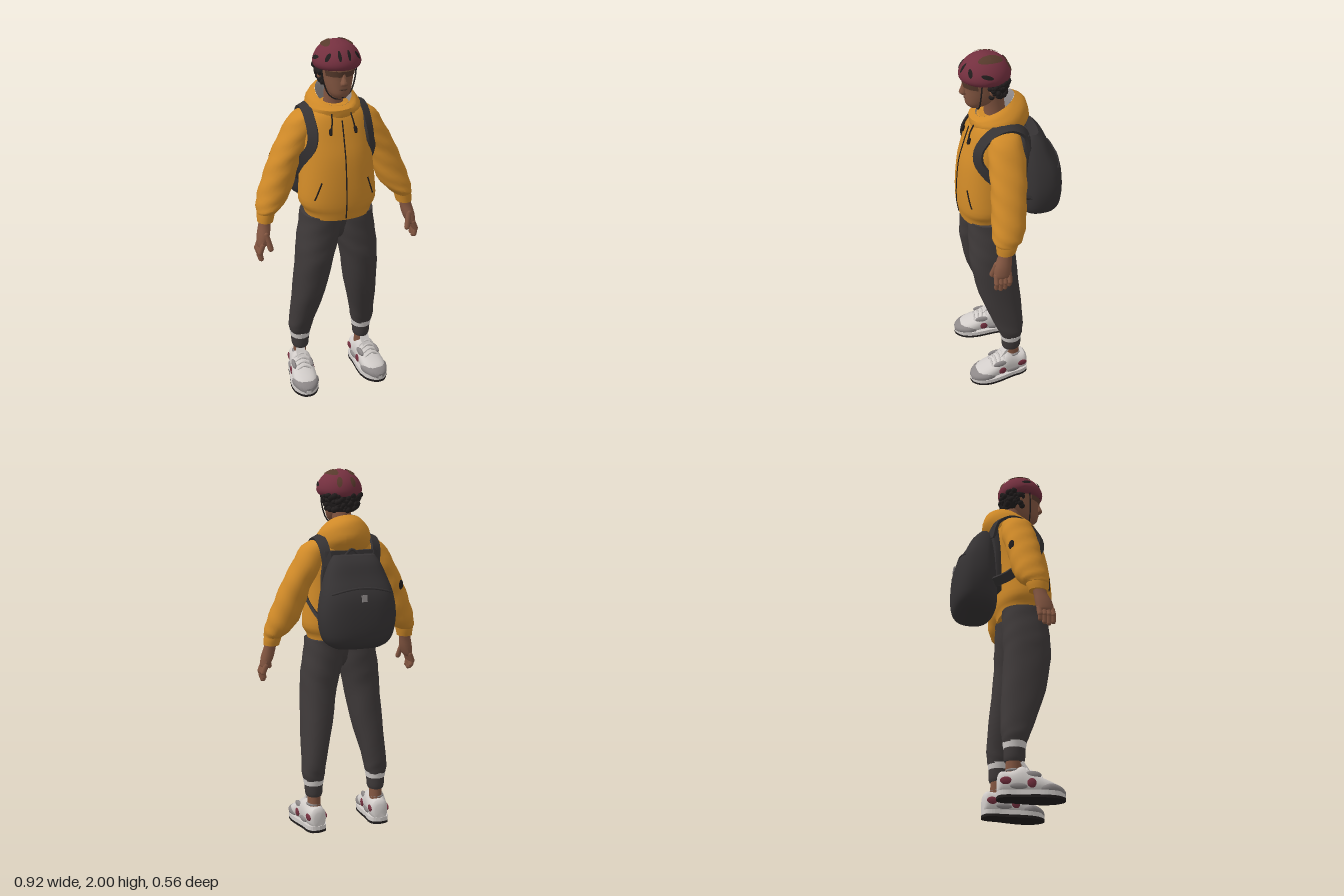
import * as THREE from 'three';
import { toCreasedNormals } from 'three/addons/utils/BufferGeometryUtils.js';

const V = (x, y, z) => new THREE.Vector3(x, y, z);
const paint = (name, color, side = THREE.FrontSide) => {
  const m = new THREE.MeshStandardMaterial({ color, side });
  m.name = name;
  return m;
};

// Closed skin over a row of vertex loops, turned outward by its signed volume
function skin(loops, cap = true) {
  const n = loops[0].length, pts = loops.flat(), idx = [];
  for (let i = 0; i < loops.length - 1; i++) for (let j = 0; j < n; j++) {
    const a = i * n + j, b = i * n + (j + 1) % n;
    idx.push(a, a + n, b, b, a + n, b + n);
  }
  if (cap) [0, loops.length - 1].forEach((r) => {
    const c = pts.length, mid = V(0, 0, 0);
    loops[r].forEach((p) => mid.addScaledVector(p, 1 / n));
    pts.push(mid);
    for (let j = 0; j < n; j++) {
      const a = r * n + j, b = r * n + (j + 1) % n;
      idx.push(c, ...(r ? [b, a] : [a, b]));
    }
  });
  let vol = 0;
  for (let i = 0; i < idx.length; i += 3) {
    const [a, b, c] = [0, 1, 2].map((k) => pts[idx[i + k]].clone().sub(pts[0]));
    vol += a.dot(b.cross(c));
  }
  if (vol < 0) idx.reverse();
  const g = new THREE.BufferGeometry().setFromPoints(pts);
  g.setIndex(idx);
  return toCreasedNormals(g, 0.6);
}

// Ring: [x, y, z, half width, half depth, front rise]; smooth() adds rings between
function smooth(rings, steps = 3) {
  const out = [], at = (i) => rings[Math.max(0, Math.min(rings.length - 1, i))];
  for (let i = 0; i < rings.length - 1; i++) for (let s = 0; s < steps; s++) {
    const t = s / steps;
    out.push(at(i).map((b, k) => {
      const c = at(i + 1)[k], m0 = (c - at(i - 1)[k]) / 2, m1 = (at(i + 2)[k] - b) / 2;
      return b + m0 * t + (3 * (c - b) - 2 * m0 - m1) * t * t + (2 * (b - c) + m0 + m1) * t ** 3;
    }));
  }
  return [...out, at(rings.length)];
}
function loft(rings, { n = 2.3, seg = 24, cap = true, fold = 0, s = 1, steps = 3 } = {}) {
  const pw = (v) => Math.sign(v) * Math.abs(v) ** (2 / n);
  return skin(smooth(rings, steps).map(([x, y, z, a, b, k = 0], i) => Array.from({ length: seg }, (_, j) => {
    const t = j / seg * Math.PI * 2, f = 1 + fold * Math.sin(3 * t + i * 1.9);
    return V(s * (x + a * f * pw(Math.cos(t))), y + k * Math.sin(t), z + b * f * pw(Math.sin(t)));
  })), cap);
}
// Point on the front (dir 1) or back (dir -1) of a lofted body
function onBody(rings, x, y, dir = 1, lift = 0.002, n = 2.3) {
  const r = smooth(rings);
  const i = Math.max(0, r.findIndex((q, k) => k < r.length - 1 && r[k + 1][1] >= y));
  const t = (y - r[i][1]) / (r[i + 1][1] - r[i][1]);
  const [, , cz, a, b] = r[i].map((v, k) => v + (r[i + 1][k] - v) * t);
  return V(x, y, cz + dir * (lift + b * Math.max(0, 1 - Math.abs(x / a) ** n) ** (1 / n)));
}
const tube = (pts, r, seg = 16) => new THREE.TubeGeometry(new THREE.CatmullRomCurve3(pts), seg, r, 6);
// Flat band along a path, facing away from a centre
function band(pts, width, thick, centre) {
  const curve = new THREE.CatmullRomCurve3(pts), loops = [];
  for (let i = 0; i <= 28; i++) {
    const p = curve.getPoint(i / 28), T = curve.getTangent(i / 28), N = p.clone().sub(centre);
    N.addScaledVector(T, -N.dot(T)).normalize();
    const B = T.clone().cross(N);
    loops.push([[1, 1], [-1, 1], [-1, -1], [1, -1]].map(([u, v]) =>
      p.clone().addScaledVector(B, u * width / 2).addScaledVector(N, v * thick / 2)));
  }
  return skin(loops);
}
function capsule(a, b, r) {
  const d = b.clone().sub(a), g = new THREE.CapsuleGeometry(r, d.length(), 3, 8);
  g.applyQuaternion(new THREE.Quaternion().setFromUnitVectors(V(0, 1, 0), d.normalize()));
  return g.translate(...a.clone().add(b).multiplyScalar(0.5).toArray());
}
const blob = (x, y, z, a, b, c, turn = 0) => new THREE.SphereGeometry(1, 12, 8).scale(a, b, c).rotateY(turn).translate(x, y, z);

export function createModel() {
  const root = new THREE.Group();
  const orange = paint('jacketOrange', 0xd08a28), maroon = paint('maroon', 0x74303f), trouser = paint('trouserCharcoal', 0x3f3a3a);
  const packDark = paint('packCharcoal', 0x363334), white = paint('offWhite', 0xd2cdca), grey = paint('grey', 0x8d8888, THREE.DoubleSide);
  const skinTone = paint('skin', 0x835641), black = paint('black', 0x211d1d), brown = paint('darkBrown', 0x573a2c, THREE.DoubleSide);
  const add = (name, geo, mat, parent = root) => {
    const m = new THREE.Mesh(geo, mat);
    m.name = name;
    parent.add(m);
  };

  // Jacket body and zip
  const torso = [[0, 1.07, .125, .175, .142], [0, 1.105, .125, .183, .147], [0, 1.15, .122, .208, .156], [0, 1.25, .12, .203, .156],
    [0, 1.4, .105, .19, .155], [0, 1.5, .085, .19, .147], [0, 1.58, .075, .18, .132], [0, 1.63, .07, .15, .115], [0, 1.665, .07, .09, .08]];
  add('jacketBody', loft(torso, { seg: 32 }), orange);
  const line = (x0, y0, x1, y1) => Array.from({ length: 9 }, (_, i) => onBody(torso, x0 + (x1 - x0) * i / 8, y0 + (y1 - y0) * i / 8, 1, .001));
  add('zip', tube(line(0, 1.08, 0, 1.6), .0035), black);

  // Hood folded down behind the neck, with its lining
  add('hood', loft([[0, 1.57, .06, .14, .125, 0], [0, 1.64, .045, .148, .155, 0], [0, 1.69, .05, .125, .142, -.035], [0, 1.715, .065, .094, .1, -.05]],
    { cap: false, n: 2, fold: .012 }), orange);
  add('hoodLining', loft([[0, 1.715, .065, .094, .1, -.05], [0, 1.685, .067, .08, .084, -.04], [0, 1.61, .068, .062, .065, 0]], { cap: false, n: 2 }), grey);
  add('shirtCollar', loft([[0, 1.6, .07, .062, .066, 0], [0, 1.66, .075, .056, .06, -.015]], { n: 2 }), black);

  // Head and neck
  add('neck', loft([[0, 1.6, .06, .056, .06], [0, 1.7, .068, .05, .055], [0, 1.8, .085, .053, .06]], { n: 2 }), skinTone);
  add('head', loft([[0, 1.712, .165, .025, .03], [0, 1.735, .15, .052, .066], [0, 1.78, .125, .07, .096], [0, 1.83, .115, .08, .108],
    [0, 1.88, .115, .088, .114], [0, 1.94, .115, .08, .1]], { n: 2.1 }), skinTone);
  add('nose', loft([[0, 1.79, .223, .018, .016], [0, 1.802, .226, .019, .022], [0, 1.83, .222, .011, .015], [0, 1.86, .218, .008, .01]], { n: 2, seg: 10 }), skinTone);
  add('lips', blob(0, 1.768, .216, .022, .006, .008), brown);
  add('goatee', blob(0, 1.73, .2, .012, .011, .012), black);
  add('glasses', new THREE.CylinderGeometry(.091, .086, .03, 20, 1, true, -1.1, 2.2).scale(1, 1, 1.3).translate(0, 1.848, .115), brown);

  // Curly hair under the helmet
  add('hairBase', loft([[0, 1.775, .055, .06, .045], [0, 1.82, .07, .088, .07], [0, 1.88, .09, .1, .095]], { n: 2 }), black);
  const hair = new THREE.Group();
  hair.name = 'hairCurls';
  root.add(hair);
  let seed = 7;
  const rnd = () => (seed = (seed * 16807) % 2147483647) / 2147483647;
  for (let i = 0; i < 70; i++) {
    const t = Math.PI * (.86 + 1.28 * ((i * .618) % 1)), h = rnd();
    add('curl', new THREE.IcosahedronGeometry(.01 + .008 * rnd(), 1).translate((.08 + .026 * h) * Math.cos(t), 1.785 + .085 * h, .08 + (.066 + .02 * h) * Math.sin(t)), black, hair);
  }
  for (let i = 0; i < 9; i++) add('fringeCurl', new THREE.IcosahedronGeometry(.01, 1)
    .translate(-.076 + .019 * i, 1.876 + .004 * (i % 2), .115 + Math.sqrt(1 - ((i - 4) / 5.2) ** 2) * .11), black, hair);

  // Helmet shell with vents between its ribs
  const C = V(0, 1.885, .115), R = V(.122, .115, .132);
  add('helmet', loft([[0, 1.862, .115, .098, .108, .006], [0, 1.866, .115, .112, .124, .006], [0, 1.89, .115, .123, .132, .004], [0, 1.925, .115, .115, .124, 0],
    [0, 1.96, .115, .092, .1, 0], [0, 1.985, .115, .06, .065, 0], [0, 2, .115, .012, .013, 0]], { n: 2, seg: 32 }), maroon);
  const vent = (n, up, w, h, mat) => {
    n.normalize();
    const v = up.addScaledVector(n, -up.dot(n)).normalize(), u = v.clone().cross(n);
    const g = new THREE.RingGeometry(.001, 1, 14, 3), p = g.attributes.position, q = V(0, 0, 0);
    for (let i = 0; i < p.count; i++) {
      q.copy(n).addScaledVector(u, w * p.getX(i)).addScaledVector(v, h * p.getY(i)).normalize().multiply(R).multiplyScalar(1.035).add(C);
      p.setXYZ(i, q.x, q.y, q.z);
    }
    g.computeVertexNormals();
    add('helmetVent', g, mat);
  };
  for (const s of [-1, 1]) {
    vent(V(s * .44, .85, -.15), V(s * .15, 0, 1), .22, .56, brown);
    vent(V(s * .2, .5, .85), V(s * .1, 1, 0), .07, .24, black);
    vent(V(s * .62, .42, .66), V(s * -.3, 1, .2), .09, .2, black);
    vent(V(s * .95, .32, .1), V(0, .4, 1), .09, .24, black);
    vent(V(s * .3, .42, -.85), V(0, 1, 0), .12, .26, brown);
  }

  // Backpack: body, flap seam, patch, handle and shoulder yoke
  const pack = [[0, 1.075, -.15, .13, .08], [0, 1.1, -.152, .17, .108], [0, 1.15, -.157, .197, .12], [0, 1.25, -.16, .212, .12], [0, 1.36, -.155, .198, .113],
    [0, 1.45, -.135, .17, .085], [0, 1.52, -.122, .14, .066], [0, 1.56, -.115, .115, .036]];
  add('backpack', loft(pack, { n: 2.7, seg: 32 }), packDark);
  add('flapSeam', tube(Array.from({ length: 11 }, (_, i) => onBody(pack, (i / 5 - 1) * .165, 1.4 - .03 * (i / 5 - 1) ** 2, -1, 0, 2.7)), .006, 24), packDark);
  add('packPatch', new THREE.BoxGeometry(.03, .036, .006).rotateX(.12).translate(0, 1.35, -.273), grey);
  add('packHandle', tube([V(-.045, 1.55, -.09), V(0, 1.585, -.085), V(.045, 1.55, -.09)], .008), packDark);
  add('packYoke', loft([[0, 1.2, -.045, .15, .025], [0, 1.4, -.052, .165, .025], [0, 1.5, -.062, .16, .028], [0, 1.58, -.065, .15, .022]], { n: 4 }), packDark);
  add('sleevePatch', blob(-.316, 1.37, -.012, .022, .028, .006, -2.62), black);

  // Hips joining the trouser legs
  add('hips', loft([[0, .92, .113, .03, .05], [0, .97, .113, .09, .09], [0, 1.09, .115, .17, .11]]), trouser);

  for (const s of [-1, 1]) {
    const side = new THREE.Group();
    side.name = s > 0 ? 'leftSide' : 'rightSide';
    root.add(side);
    const put = (name, geo, mat) => add(name, geo, mat, side);
    const P = (x, y, z) => V(s * x, y, z);

    // Sleeve with gathered cuff
    put('sleeve', loft([[.125, 1.635, .055, .03, .05], [.155, 1.597, .055, .076, .08], [.205, 1.5, .056, .085, .095], [.262, 1.4, .063, .081, .093], [.3, 1.3, .072, .086, .09],
      [.338, 1.2, .083, .086, .088], [.372, 1.135, .096, .066, .08], [.391, 1.105, .104, .045, .06]], { s, n: 2.1, fold: .03 }), orange);
    put('cuff', loft([[.386, 1.12, .106, .048, .06], [.392, 1.09, .108, .046, .056], [.396, 1.06, .112, .042, .05]], { s, n: 2 }), orange);
    // Hand
    put('palm', loft([[.395, 1.08, .115, .032, .036], [.404, 1.04, .122, .032, .036], [.415, .99, .134, .033, .045], [.427, .945, .14, .025, .045], [.432, .93, .14, .016, .04]], { s, n: 2.2, seg: 14 }), skinTone);
    for (let i = 0; i < 4; i++) {
      const z = .105 + i * .023, end = [.882, .866, .86, .87][i], mid = P(.446, .905, z + .002);
      put('finger', capsule(P(.43, .945, z), mid, .0145), skinTone);
      put('fingertip', capsule(mid, P(.44, end, z + .003), .0125), skinTone);
    }
    put('thumb', capsule(P(.408, 1.0, .165), P(.39, .925, .186), .0155), skinTone);
    put('ear', blob(s * .088, 1.825, .095, .01, .026, .017), skinTone);
    put('chinStrap', tube([P(.094, 1.875, .15), P(.084, 1.8, .155), P(.06, 1.735, .158), P(.025, 1.705, .16), P(0, 1.702, .16)], .004), black);

    // Pocket zip, drawstring and shoulder strap
    put('pocketZip', tube(line(s * .125, 1.29, s * .16, 1.19), .004), black);
    put('drawstring', tube([P(.05, 1.635, .185), onBody(torso, s * .058, 1.59, 1, .012), onBody(torso, s * .066, 1.545, 1, .008)], .004), black);
    put('stringEnd', capsule(onBody(torso, s * .066, 1.56, 1, .008), onBody(torso, s * .068, 1.54, 1, .008), .009), black);
    put('shoulderStrap', band([P(.135, 1.5, -.085), P(.146, 1.6, -.055), P(.15, 1.646, .02), P(.152, 1.627, .11), onBody(torso, s * .152, 1.54, 1, .014), onBody(torso, s * .162, 1.47, 1, .01),
      P(.19, 1.4, .15), P(.205, 1.32, .08), P(.185, 1.25, 0), P(.165, 1.2, -.1)], .054, .016, P(.06, 1.45, .07)), packDark);

    // Trouser leg, reflective stripe and ankle cuff
    put('trouserLeg', loft([[.088, 1.08, .113, .108, .125], [.095, 1.0, .113, .11, .127], [.112, .9, .114, .108, .128], [.128, .8, .114, .098, .127], [.15, .6, .087, .086, .116],
      [.179, .4, .045, .067, .086], [.187, .33, .033, .064, .07], [.187, .29, .028, .055, .06]], { s, fold: .012 }), trouser);
    put('stripe', loft([[.187, .262, .028, .054, .057], [.187, .296, .029, .06, .062]], { s, n: 2, steps: 1 }), white);
    put('ankleCuff', loft([[.187, .195, .027, .043, .05], [.187, .215, .027, .049, .055], [.187, .265, .028, .052, .056]], { s, n: 2 }), trouser);
    put('ankle', loft([[.187, .1, .02, .036, .042], [.187, .2, .025, .036, .042]], { s, n: 2 }), skinTone);

    // Trainer, built along +z from the heel
    const shoe = new THREE.Group();
    shoe.name = 'shoe';
    shoe.position.x = s * .19;
    shoe.rotation.y = s * .1;
    side.add(shoe);
    const upper = (rings) => loft(rings.map(([z, w, h]) => [0, z, -(h + .02) / 2, w, (h - .02) / 2]), { n: 2.4, seg: 20 }).rotateX(Math.PI / 2);
    add('shoeUpper', upper([[-.06, .03, .115], [-.045, .048, .14], [0, .055, .142], [.06, .06, .17], [.1, .064, .148], [.15, .068, .118], [.2, .067, .096], [.24, .05, .078], [.262, .022, .055]]), white, shoe);
    add('toeGuard', upper([[.15, .066, .075], [.19, .077, .086], [.23, .066, .08], [.262, .045, .066], [.279, .02, .05]]), grey, shoe);
    // Sole layers: half width and z along the outline
    const half = [[.04, -.055], [.058, -.02], [.062, .04], [.074, .12], [.076, .18], [.062, .235], [.03, .272]];
    const outline = new THREE.Shape();
    outline.moveTo(0, -.066);
    outline.splineThru([...half, [0, .28], ...half.map(([w, z]) => [-w, z]).reverse(), [0, -.066]].map((p) => new THREE.Vector2(...p)));
    const layer = (y, h) => new THREE.ExtrudeGeometry(outline, { depth: h, bevelEnabled: false, curveSegments: 3 }).rotateX(Math.PI / 2).translate(0, y + h, 0);
    add('outsole', layer(0, .014), black, shoe);
    add('midsole', layer(.014, .024), white, shoe);
    for (const k of [-1, 1]) {
      add('sideDisc', blob(k * .062, .074, .105, .009, .024, .024), maroon, shoe);
      add('heelPanel', blob(k * .05, .085, -.02, .008, .02, .032), maroon, shoe);
      add('archPanel', blob(k * .056, .058, .04, .009, .016, .045), grey, shoe);
      add('lacePanel', blob(k * .05, .118, .11, .012, .02, .045), grey, shoe);
    }
    add('shoeOpening', blob(0, .147, .022, .042, .012, .045), grey, shoe);
    add('tongue', new THREE.BoxGeometry(.05, .07, .016).rotateX(-.6).translate(0, .163, .08), white, shoe);
    for (let i = 0; i < 4; i++) {
      const y = .14 - i * .013, z = .085 + i * .024;
      add('lace', tube([V(-.044, y, z), V(0, y + .026, z), V(.044, y, z)], .006, 8), white, shoe);
    }
  }
  return root;
}
